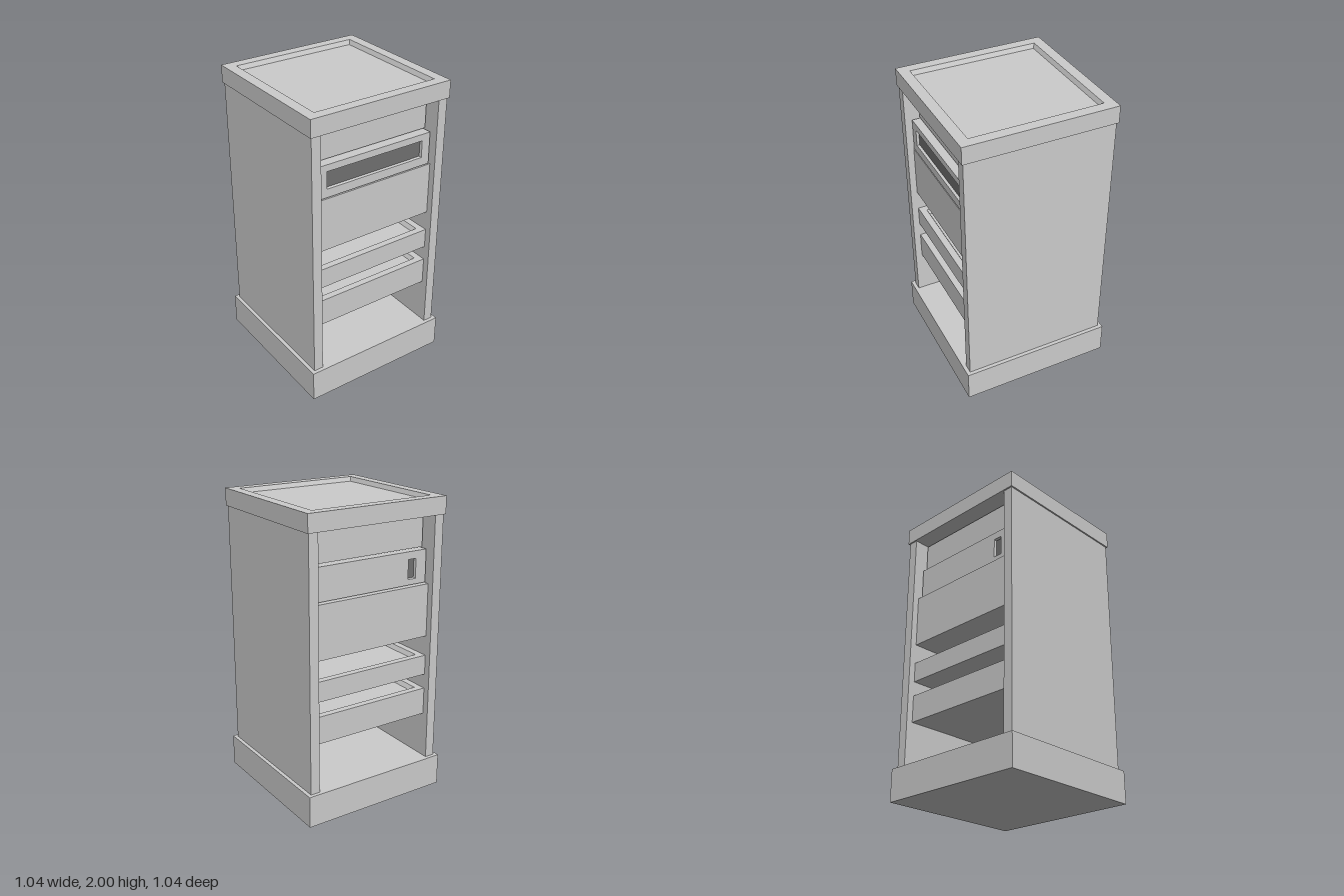
import * as THREE from 'three';

const grey = new THREE.MeshStandardMaterial({ color: 0xcccccc, flatShading: true });
const dark = new THREE.MeshStandardMaterial({ color: 0x707070, flatShading: true });

// Solid lofted through rectangles [x0, x1, y0, y1, z], capped at both ends
function loft(rings) {
  const loops = rings.map(([x0, x1, y0, y1, z]) => [[x0, y0, z], [x1, y0, z], [x1, y1, z], [x0, y1, z]]);
  const pos = [];
  const quad = (a, b, c, d) => pos.push(...a, ...b, ...c, ...a, ...c, ...d);
  const first = loops[0], last = loops[loops.length - 1];
  quad(first[3], first[2], first[1], first[0]);
  for (let r = 0; r < loops.length - 1; r++) {
    for (let i = 0; i < 4; i++) {
      const j = (i + 1) % 4;
      quad(loops[r][i], loops[r][j], loops[r + 1][j], loops[r + 1][i]);
    }
  }
  quad(...last);
  const geo = new THREE.BufferGeometry();
  geo.setAttribute('position', new THREE.Float32BufferAttribute(pos, 3));
  geo.computeVertexNormals();
  return geo;
}

// Slab with a shallow tapered recess in its top
function tray(halfX, halfZ, y0, y1, rim, taper, depth) {
  const ring = (inset, y) => [-halfX + inset, halfX - inset, -halfZ + inset, halfZ - inset, y];
  return loft([ring(0, y0), ring(0, y1), ring(rim, y1), ring(rim + taper, y1 - depth)]).rotateX(-Math.PI / 2);
}

// Box given by its limits
function block(x0, x1, y0, y1, z0, z1) {
  return new THREE.BoxGeometry(x1 - x0, y1 - y0, z1 - z0)
    .translate((x0 + x1) / 2, (y0 + y1) / 2, (z0 + z1) / 2);
}

export function createModel() {
  const group = new THREE.Group();
  const add = (name, geo, material = grey) => {
    const mesh = new THREE.Mesh(geo, material);
    mesh.name = name;
    group.add(mesh);
  };

  // Cabinet shell
  add('base', block(-0.52, 0.52, 0, 0.215, -0.52, 0.52));
  add('rightPanel', block(-0.495, -0.43, 0.215, 1.885, -0.495, 0.495));
  add('leftPanel', block(0.43, 0.495, 0.215, 1.885, -0.495, 0.495));
  add('top', tray(0.505, 0.505, 1.885, 2, 0.07, 0.012, 0.03));

  // Open trays
  add('lowerTray', tray(0.43, 0.45, 0.525, 0.71, 0.045, 0.015, 0.03));
  add('upperTray', tray(0.43, 0.45, 0.81, 0.945, 0.045, 0.015, 0.03));

  // Closed units
  add('largeUnit', block(-0.43, 0.43, 1.08, 1.435, -0.45, 0.45));
  add('topUnit', block(-0.41, 0.415, 1.67, 1.87, -0.4, 0.4));

  // Slotted unit: wide slot in front, small socket at the back
  const front = [-0.36, 0.355, 1.5, 1.615], back = [-0.34, -0.28, 1.48, 1.61];
  const body = [-0.42, 0.415, 1.443, 1.66];
  const shrink = ([a, b, c, d], t) => [a + t, b - t, c + t, d - t];
  add('slottedUnit', loft([
    [...shrink(back, 0.004), -0.41], [...back, -0.43], [...body, -0.43],
    [...body, 0.45], [...front, 0.45], [...shrink(front, 0.004), 0.43],
  ]));
  add('frontSlotPanel', block(...shrink(front, 0.004), 0.428, 0.433), dark);
  add('rearSocketPanel', block(...shrink(back, 0.004), -0.413, -0.408), dark);

  return group;
}
